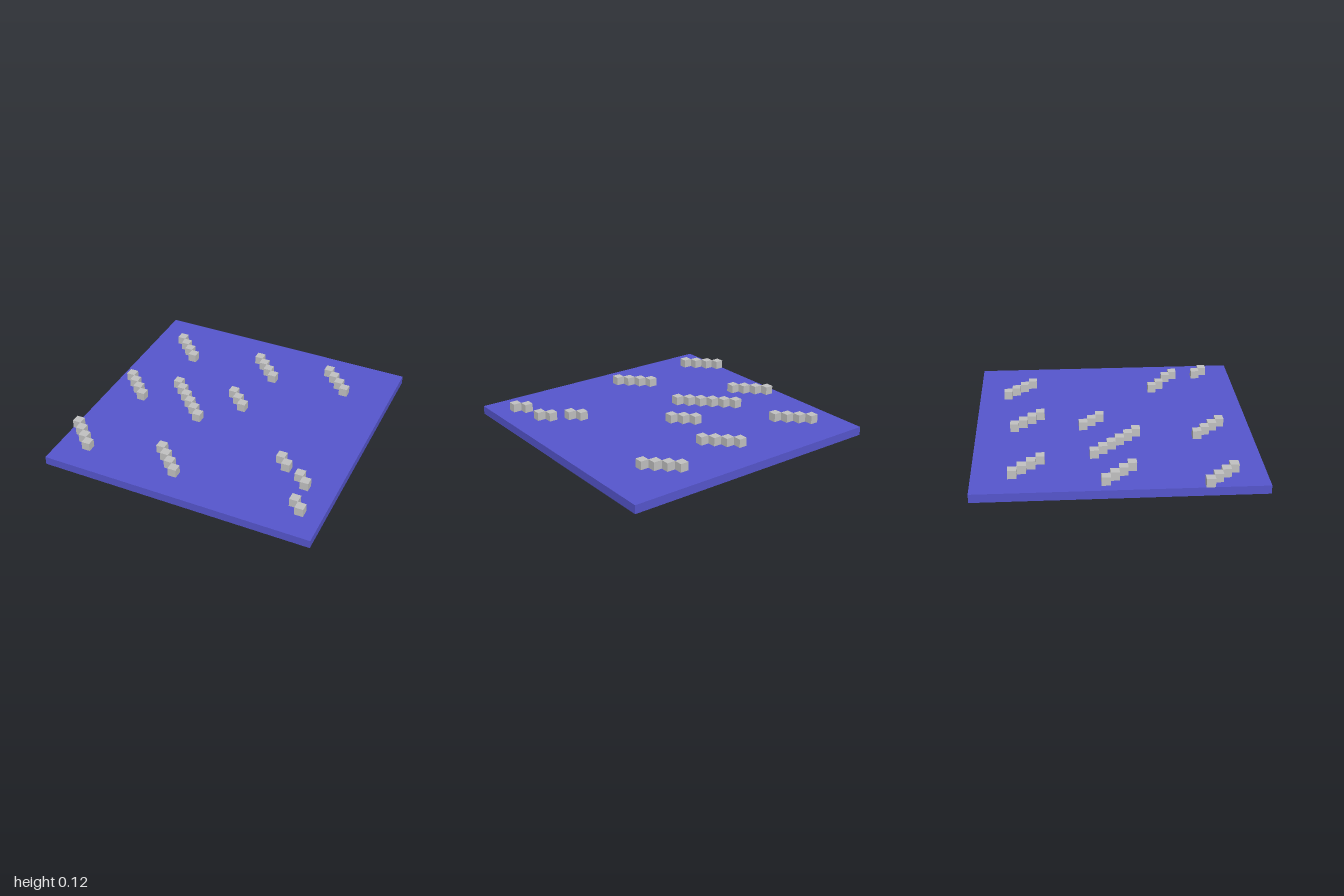
import * as THREE from 'three';

// The board is a 32 x 32 grid of square cells
const CELL = 2 / 32;

// Diagonal runs of blocks: [first column, first row, count]
const RUNS = [
  [3, 4, 4], [14, 4, 4], [23, 3, 4],
  [14, 12, 3], [7, 13, 6], [1, 14, 4],
  [24, 21, 2], [27, 23, 2], [28, 27, 2],
  [0, 25, 4], [11, 25, 4],
];

export function createModel() {
  const model = new THREE.Group();
  model.name = 'boardWithBlocks';

  const blue = new THREE.MeshStandardMaterial({ color: 0x5555cc });
  blue.name = 'board blue';
  const grey = new THREE.MeshStandardMaterial({ color: 0xc0c0c0 });
  grey.name = 'block grey';

  // Flat square base
  const board = new THREE.Mesh(new THREE.BoxGeometry(2, CELL, 2), blue);
  board.name = 'board';
  board.position.y = CELL / 2;
  model.add(board);

  // One-cell cubes stepping diagonally towards +x, +z
  const cube = new THREE.BoxGeometry(CELL, CELL, CELL);
  const centre = (index) => (index + 0.5) * CELL - 1;
  RUNS.forEach(([column, row, count], r) => {
    const run = new THREE.Group();
    run.name = `blockRun${r + 1}`;
    for (let i = 0; i < count; i++) {
      const block = new THREE.Mesh(cube, grey);
      block.name = 'block';
      block.position.set(centre(column + i), CELL * 1.5, centre(row + i));
      run.add(block);
    }
    model.add(run);
  });

  return model;
}
